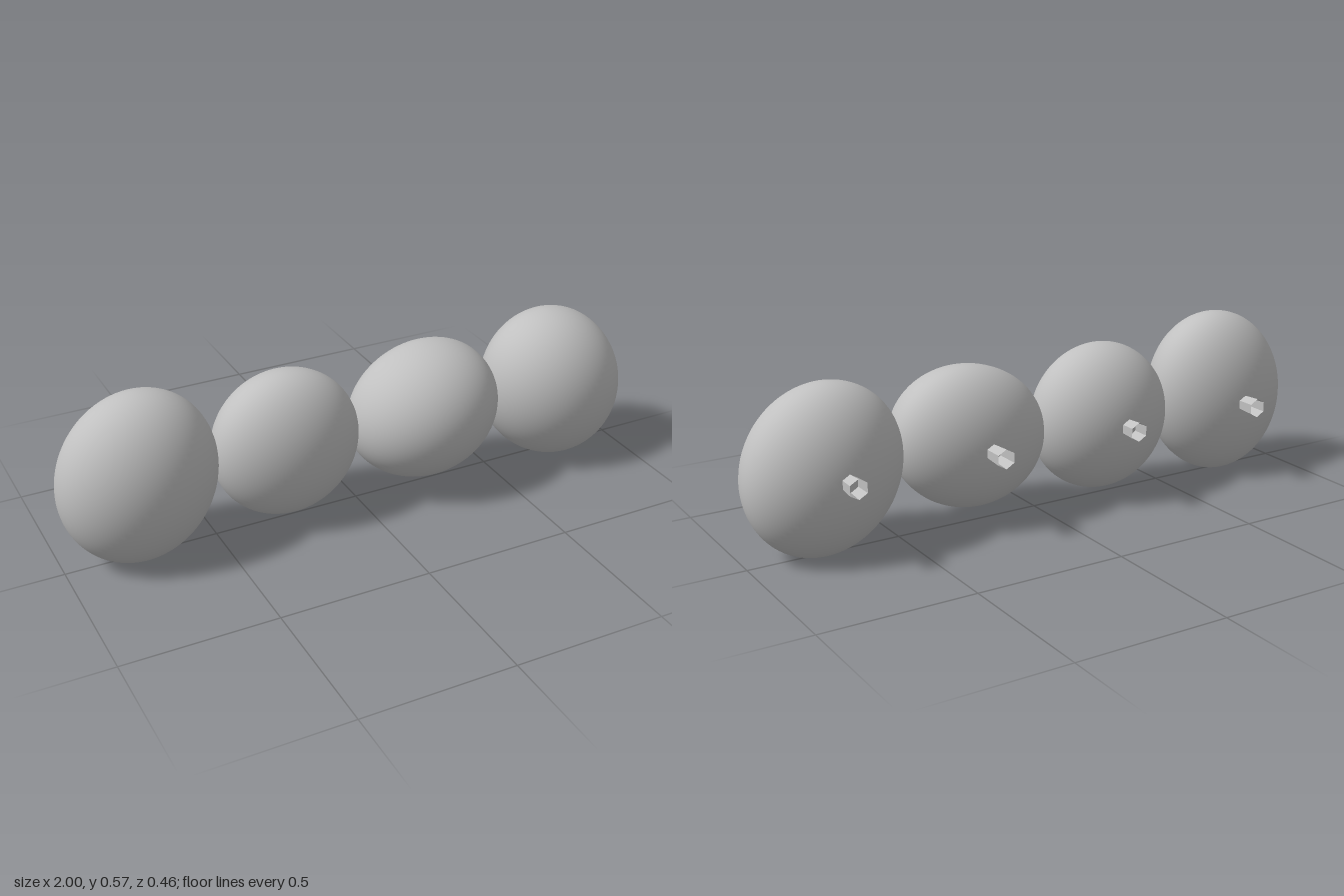
import * as THREE from 'three';
import { mergeVertices } from 'three/addons/utils/BufferGeometryUtils.js';

const grey = new THREE.MeshStandardMaterial({ color: 0xc0c0c0 });
grey.name = 'light grey';
const greyOpen = new THREE.MeshStandardMaterial({ color: 0xc0c0c0, side: THREE.DoubleSide });
greyOpen.name = 'light grey open';

// Ellipsoid with different front and back depth, leaning sideways (lean) or tilted (tilt)
function podGeometry({ rx, ry, front, back, lean = 0, tilt = 0 }) {
  let geo = new THREE.SphereGeometry(1, 64, 48);
  geo.deleteAttribute('uv');
  geo.deleteAttribute('normal');
  const p = geo.attributes.position;
  for (let i = 0; i < p.count; i++) {
    const x = p.getX(i) * rx, y = p.getY(i) * ry, z = p.getZ(i);
    p.setXYZ(i, x + lean * y, y + tilt * x, z * (z > 0 ? front : back));
  }
  geo = mergeVertices(geo, 1e-5);
  geo.computeVertexNormals();
  return geo;
}

// Hollow six-sided stub flaring towards the back
function stubGeometry() {
  const geo = new THREE.CylinderGeometry(0.032, 0.026, 0.09, 6, 1, true).toNonIndexed();
  geo.computeVertexNormals();
  return geo.rotateX(-Math.PI / 2);
}

const pods = [
  { x: -0.745, y: 0.286, rx: 0.255, ry: 0.284, front: 0.193, back: 0.17, lean: 0.05 },
  { x: -0.25, y: 0.278, rx: 0.248, ry: 0.248, front: 0.16, back: 0.179 },
  { x: 0.242, y: 0.288, rx: 0.263, ry: 0.232, front: 0.229, back: 0.159, tilt: 0.05 },
  { x: 0.743, y: 0.271, rx: 0.253, ry: 0.269, front: 0.222, back: 0.177, lean: -0.085 },
];

export function createModel() {
  const group = new THREE.Group();
  group.name = 'podRow';
  const stub = stubGeometry();
  pods.forEach((d, i) => {
    const pod = new THREE.Mesh(podGeometry(d), grey);
    pod.name = `pod${i + 1}`;
    pod.position.set(d.x, d.y, 0);
    const stem = new THREE.Mesh(stub, greyOpen);
    stem.name = `stub${i + 1}`;
    stem.position.set([-0.745, -0.253, 0.243, 0.735][i], 0.279, -0.188);
    group.add(pod, stem);
  });
  return group;
}
